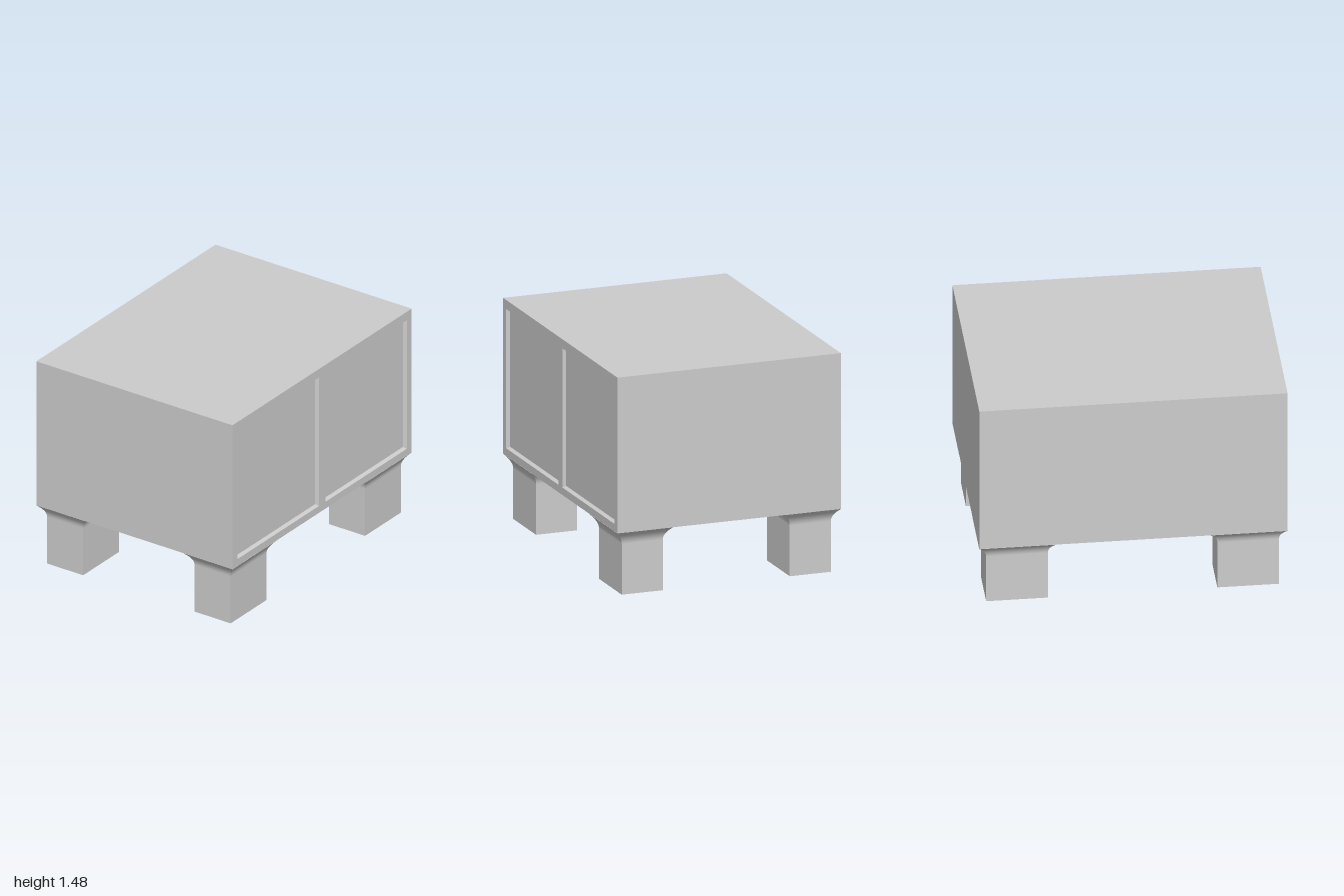
import * as THREE from 'three';

const W = 2, D = 1.55, BOTTOM = 0.43, TOP = 1.475;
const H = TOP - BOTTOM, MID = (TOP + BOTTOM) / 2;
const DOOR = { x: 0.49, y: 0.947, w: 0.91, h: 0.934, depth: 0.022, inset: 0.012 };
const LEG = { x: 0.75, z: 0.5825, w: 0.4, d: 0.285, flare: 0.052, flareStart: 0.34 };

const material = new THREE.MeshStandardMaterial({ color: 0xcccccc });

function addMesh(parent, name, geometry, x = 0, y = 0, z = 0) {
  const mesh = new THREE.Mesh(geometry, material);
  mesh.name = name;
  mesh.position.set(x, y, z);
  parent.add(mesh);
  return mesh;
}

// Box without its +z face
function openBox(w, h, d) {
  const geo = new THREE.BoxGeometry(w, h, d);
  geo.setIndex([...geo.index.array].filter((_, i) => i < 24 || i >= 30));
  geo.clearGroups();
  return geo;
}

function rectangle(path, x, y, w, h) {
  path.moveTo(x - w / 2, y - h / 2);
  path.lineTo(x + w / 2, y - h / 2);
  path.lineTo(x + w / 2, y + h / 2);
  path.lineTo(x - w / 2, y + h / 2);
  path.closePath();
  return path;
}

// Front face with two door openings
function frontFrameGeometry() {
  const shape = rectangle(new THREE.Shape(), 0, MID, W, H);
  for (const side of [-1, 1]) {
    shape.holes.push(rectangle(new THREE.Path(), side * DOOR.x, DOOR.y, DOOR.w, DOOR.h));
  }
  return new THREE.ShapeGeometry(shape);
}

// Shallow tray with sloping walls, seen from inside
function doorGeometry() {
  const geo = openBox(DOOR.w, DOOR.h, DOOR.depth);
  const pos = geo.attributes.position;
  for (let i = 0; i < pos.count; i++) {
    if (pos.getZ(i) > 0) continue;
    pos.setX(i, pos.getX(i) - Math.sign(pos.getX(i)) * DOOR.inset);
    pos.setY(i, pos.getY(i) - Math.sign(pos.getY(i)) * DOOR.inset);
  }
  geo.setIndex([...geo.index.array].reverse());
  geo.computeVertexNormals();
  return geo;
}

// Square leg that curves outward where it meets the body
function legGeometry() {
  const rows = 12;
  const geo = new THREE.BoxGeometry(LEG.w, 1, LEG.d, 1, rows, 1);
  const pos = geo.attributes.position;
  for (let i = 0; i < pos.count; i++) {
    const row = Math.round((pos.getY(i) + 0.5) * rows);
    const t = Math.max(0, (row - 1) / (rows - 1));
    const out = LEG.flare * t * t;
    const y = row === 0 ? 0 : LEG.flareStart + (BOTTOM - LEG.flareStart) * t;
    pos.setXYZ(i,
      pos.getX(i) + Math.sign(pos.getX(i)) * out,
      y,
      pos.getZ(i) + Math.sign(pos.getZ(i)) * out);
  }
  geo.computeVertexNormals();
  return geo;
}

export function createModel() {
  const group = new THREE.Group();
  group.name = 'cabinet';

  // Body
  addMesh(group, 'body', openBox(W, H, D), 0, MID, 0);
  addMesh(group, 'frontFrame', frontFrameGeometry(), 0, 0, D / 2);

  // Recessed doors
  const door = doorGeometry();
  for (const side of [-1, 1]) {
    addMesh(group, side > 0 ? 'leftDoor' : 'rightDoor', door,
      side * DOOR.x, DOOR.y, D / 2 - DOOR.depth / 2);
  }

  // Legs
  const leg = legGeometry();
  for (const sx of [-1, 1]) {
    for (const sz of [-1, 1]) {
      const name = (sz > 0 ? 'front' : 'back') + (sx > 0 ? 'Left' : 'Right') + 'Leg';
      addMesh(group, name, leg, sx * LEG.x, 0, sz * LEG.z);
    }
  }
  return group;
}
